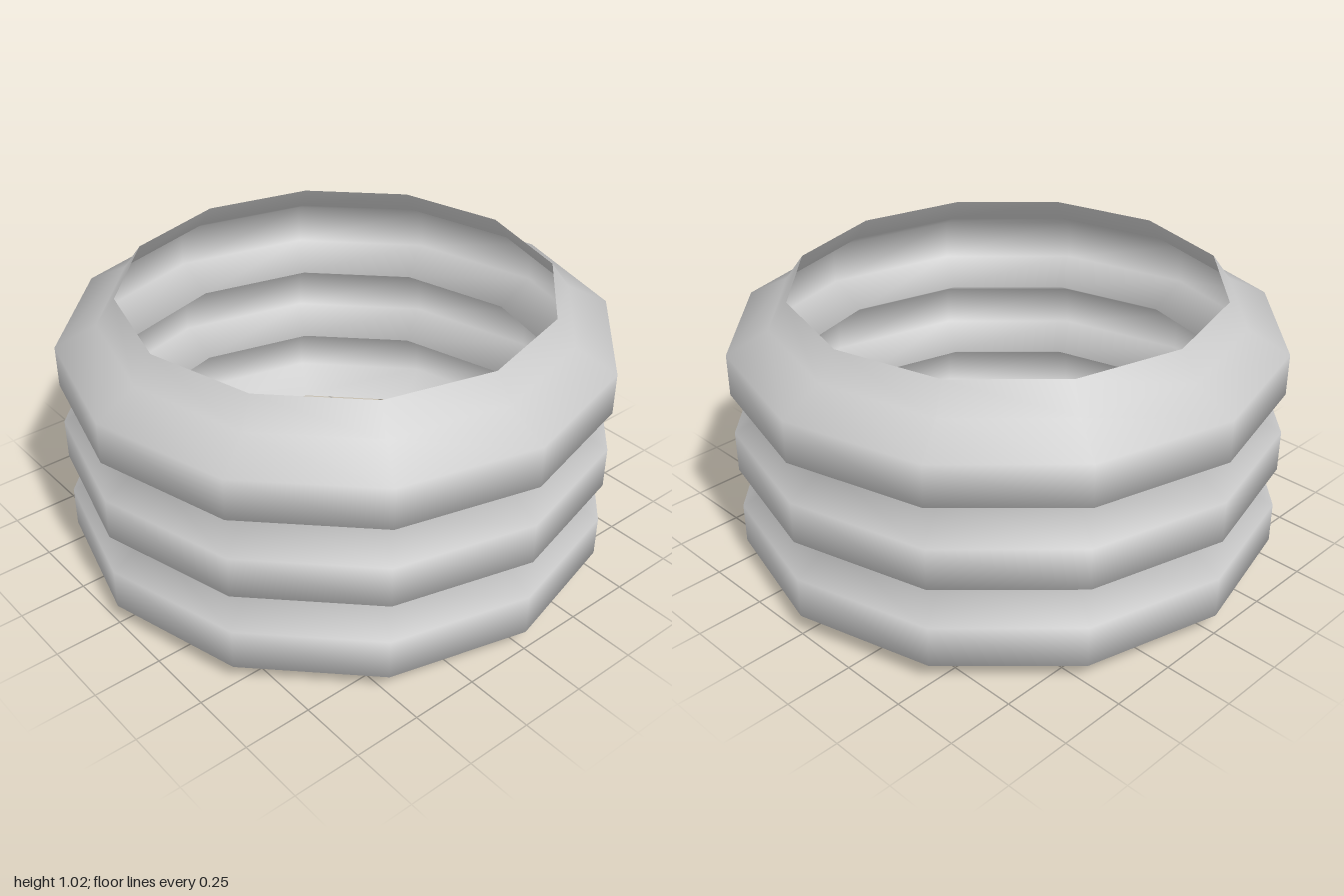
import * as THREE from 'three';

export function createModel() {
  const model = new THREE.Group();
  const material = new THREE.MeshStandardMaterial({ color: 0xcccccc, side: THREE.DoubleSide });

  // Profile: three equal ribs, then a narrowing collar
  const ribs = 3, pitch = 0.307, inner = 0.85, outer = 1;
  const profile = [new THREE.Vector2(inner, 0)];
  for (let i = 0; i < ribs; i++) {
    const y = i * pitch;
    profile.push(
      new THREE.Vector2(outer, y + pitch * 0.25),
      new THREE.Vector2(outer, y + pitch * 0.75),
      new THREE.Vector2(inner, y + pitch)
    );
  }
  profile.push(new THREE.Vector2(0.78, 1.017));

  // Thin open sleeve with twelve sides
  const sleeve = new THREE.Mesh(new THREE.LatheGeometry(profile, 12), material);
  sleeve.name = 'ribbedSleeve';
  model.add(sleeve);
  return model;
}
